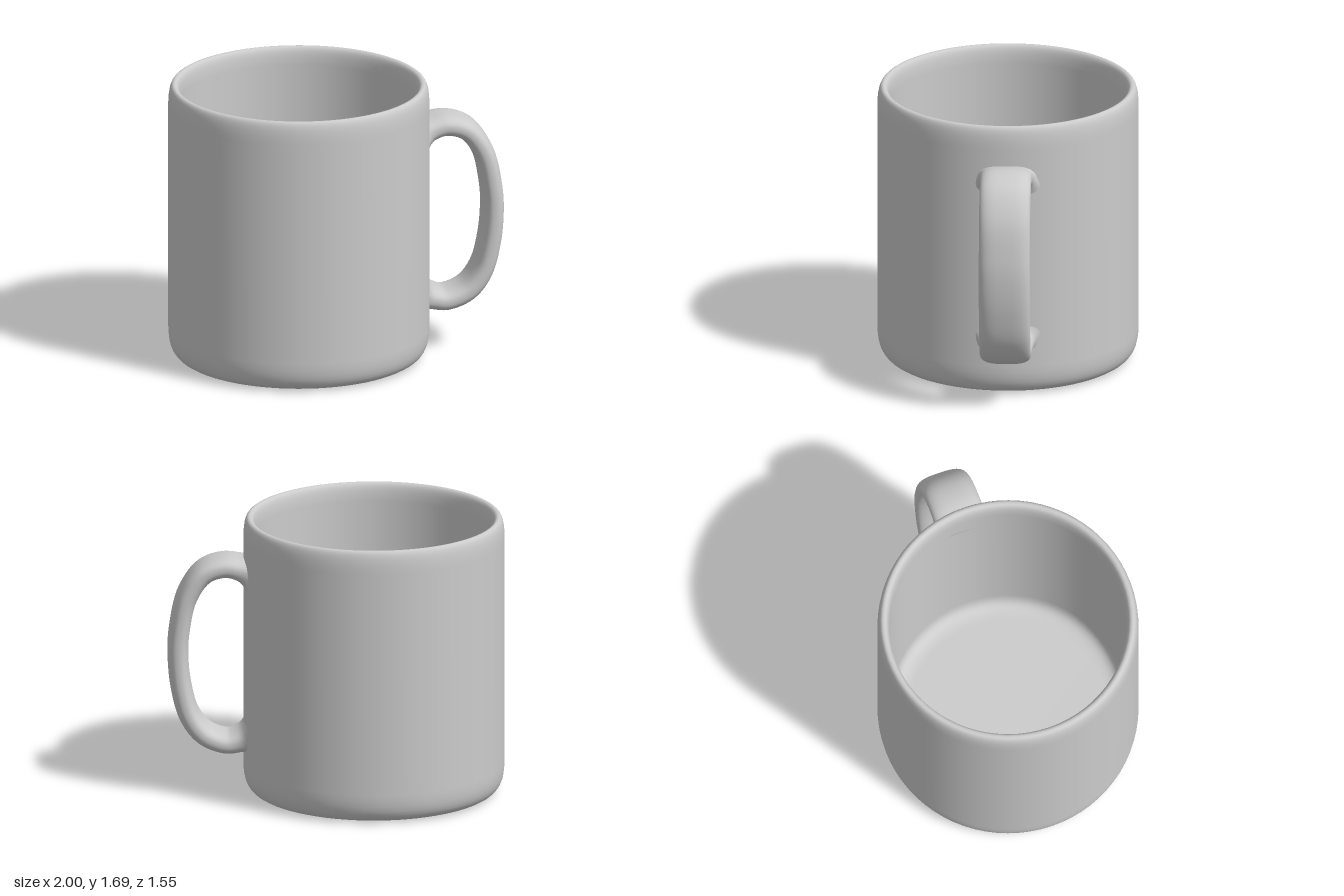
import * as THREE from 'three';
import { ParametricGeometry } from 'three/addons/geometries/ParametricGeometry.js';

const material = new THREE.MeshStandardMaterial({ color: 0xcccccc });

// Cup: one closed profile, from under the base, over the rim, to the inner floor
function makeCup() {
  const profile = new THREE.Path();
  profile.moveTo(0, 0.005);
  profile.lineTo(0.64, 0.005);
  profile.bezierCurveTo(0.73, 0.005, 0.775, 0.04, 0.775, 0.19);
  profile.lineTo(0.775, 1.55);
  profile.bezierCurveTo(0.775, 1.64, 0.765, 1.69, 0.74, 1.69);
  profile.bezierCurveTo(0.715, 1.69, 0.705, 1.66, 0.703, 1.58);
  profile.lineTo(0.7, 0.2);
  profile.bezierCurveTo(0.7, 0.11, 0.67, 0.08, 0.58, 0.08);
  profile.lineTo(0, 0.08);
  const cup = new THREE.Mesh(new THREE.LatheGeometry(profile.getPoints(10), 72), material);
  cup.name = 'cup';
  cup.position.x = -0.225;
  return cup;
}

// Handle: flat rounded strap swept along a D-shaped curve, flaring into the wall
function makeHandle() {
  const spine = new THREE.CatmullRomCurve3([
    [0.5, 1.36], [0.57, 1.385], [0.66, 1.4], [0.78, 1.36], [0.88, 1.22],
    [0.93, 1.0], [0.938, 0.85], [0.92, 0.66], [0.87, 0.48], [0.78, 0.365],
    [0.65, 0.315], [0.57, 0.33], [0.5, 0.355],
  ].map(([x, y]) => new THREE.Vector3(x, y, 0)), false, 'centripetal');
  const power = (value, p) => Math.sign(value) * Math.abs(value) ** p;

  const sweep = (u, v, target) => {
    const t = THREE.MathUtils.clamp(u, 0, 1);
    const angle = v * Math.PI * 2;
    const point = spine.getPointAt(t);
    const tangent = spine.getTangentAt(t);
    const flare = Math.exp(-Math.min(t, 1 - t) / 0.022);
    const thick = 0.062 * (1 + 0.75 * flare) * power(Math.cos(angle), 0.8);
    const wide = 0.152 * (1 + 0.4 * flare) * power(Math.sin(angle), 0.65);
    target.set(point.x - tangent.y * thick, point.y + tangent.x * thick, -0.015 - wide);
  };
  const handle = new THREE.Mesh(new ParametricGeometry(sweep, 72, 40), material);
  handle.name = 'handle';
  return handle;
}

export function createModel() {
  const mug = new THREE.Group();
  mug.name = 'mug';
  mug.add(makeCup(), makeHandle());
  return mug;
}
